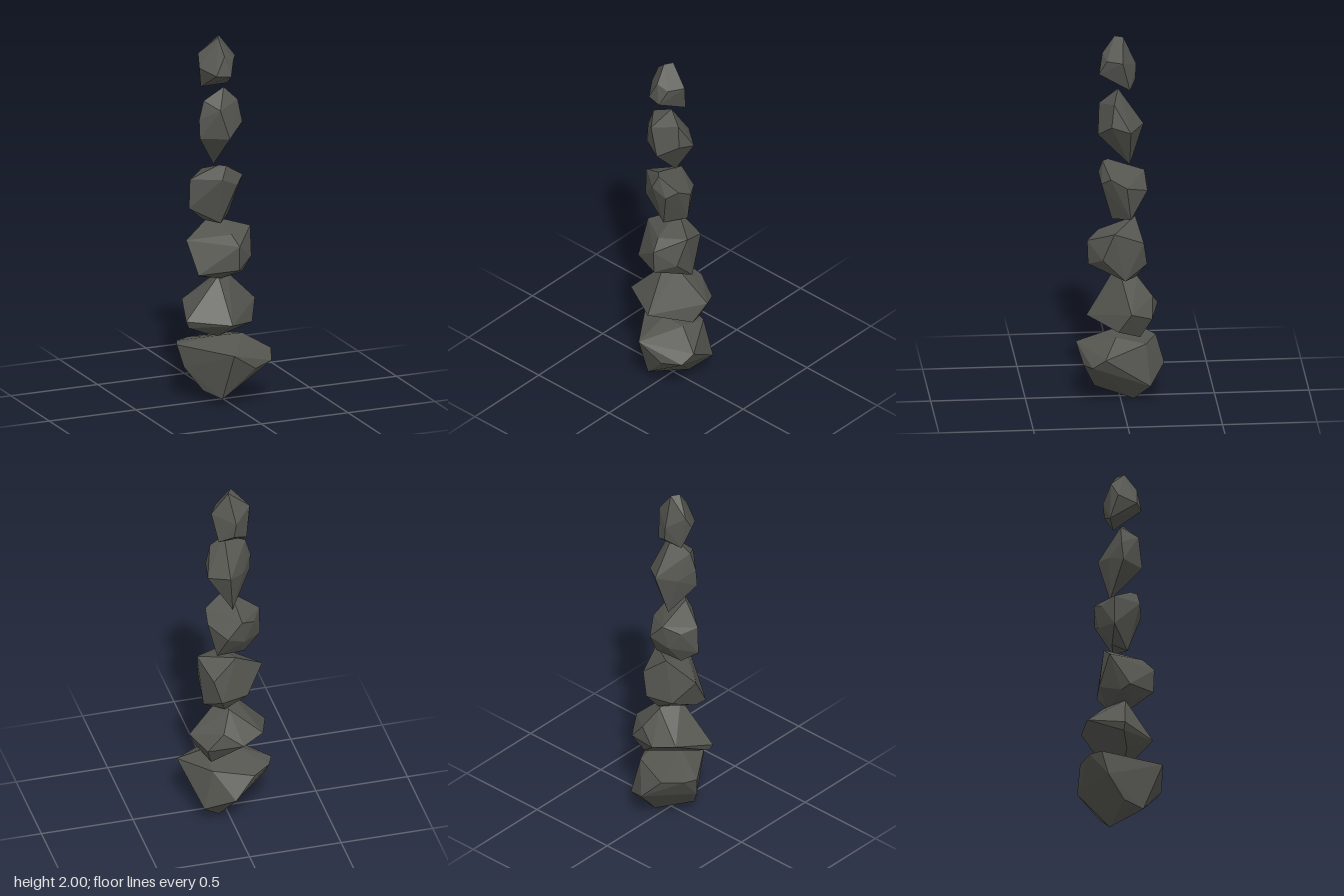
import * as THREE from 'three';
import { ConvexGeometry } from 'three/addons/geometries/ConvexGeometry.js';

// Corner points of each rough stone, bottom to top
const stones = {
  baseStone: [
    [0.05, 0, -0.07], [-0.06, 0.04, 0.13], [-0.13, 0.07, 0.04], [0.15, 0.1, -0.15],
    [-0.21, 0.19, -0.03], [0, 0.18, -0.235], [0.21, 0.23, 0.16], [0.1, 0.21, 0.2],
    [-0.24, 0.31, -0.06], [-0.035, 0.3, 0.23], [0.235, 0.28, 0.095], [-0.11, 0.3, -0.2],
    [-0.21, 0.31, -0.13], [0.1, 0.36, 0.03], [-0.03, 0.365, 0.04], [0.1, 0.32, -0.13],
  ],
  secondStone: [
    [-0.04, 0.36, 0.03], [0.1, 0.36, -0.1], [0.16, 0.41, 0.02], [-0.1, 0.38, 0.05],
    [-0.22, 0.43, 0.055], [-0.24, 0.47, 0.065], [-0.02, 0.45, 0.175], [0.135, 0.47, -0.16],
    [-0.05, 0.5, -0.205], [-0.17, 0.53, -0.15], [0.205, 0.52, -0.045], [0.05, 0.57, -0.17],
    [0, 0.67, -0.09], [0.03, 0.69, 0], [-0.04, 0.69, 0.03],
  ],
  thirdStone: [
    [0.02, 0.67, -0.08], [-0.03, 0.68, 0.05], [0.12, 0.68, -0.02], [-0.15, 0.7, 0.03],
    [-0.175, 0.72, 0.08], [0.02, 0.75, 0.17], [0.05, 0.75, -0.14], [-0.1, 0.75, -0.1],
    [0.12, 0.8, 0.1], [0.02, 0.88, 0.175], [-0.2, 0.89, -0.025], [0.09, 0.88, -0.12],
    [0, 0.935, 0.115], [0.14, 0.95, 0.04], [-0.04, 0.99, -0.085],
  ],
  fourthStone: [
    [-0.03, 0.98, 0.04], [-0.1, 0.99, -0.03], [0.055, 1, -0.055], [-0.195, 1.07, 0],
    [-0.08, 1.1, -0.11], [0.02, 1.15, -0.145], [0.1, 1.19, -0.03], [0.04, 1.2, 0.1],
    [-0.14, 1.2, -0.08], [-0.19, 1.23, 0], [-0.05, 1.24, 0.11], [-0.06, 1.24, -0.135],
    [0.09, 1.24, 0.055], [-0.02, 1.31, 0.09], [-0.05, 1.31, 0.06],
  ],
  fifthStone: [
    [-0.03, 1.28, -0.055], [-0.15, 1.46, 0.04], [-0.01, 1.46, 0.115], [0.105, 1.5, -0.05],
    [-0.09, 1.5, -0.05], [0, 1.52, -0.125], [-0.15, 1.56, 0.03], [0.09, 1.53, 0.05],
    [-0.06, 1.62, 0.105], [-0.12, 1.66, 0.02], [0.07, 1.65, 0.035], [0, 1.72, 0.01],
  ],
  topStone: [
    [-0.11, 1.72, -0.04], [0.045, 1.72, -0.05], [-0.03, 1.76, -0.085], [0, 1.8, 0.11],
    [-0.08, 1.81, 0.1], [-0.14, 1.84, 0.01], [-0.04, 1.84, -0.09], [0.075, 1.88, -0.01],
    [-0.13, 1.91, -0.03], [-0.03, 1.91, 0.09], [0.03, 1.88, 0.07], [-0.015, 2, -0.02], [-0.04, 2, 0.025],
  ],
};

export function createModel() {
  const group = new THREE.Group();
  group.name = 'stoneStack';
  const darkStone = new THREE.MeshStandardMaterial({ color: 0x555550 });
  darkStone.name = 'dark stone';

  // Each stone is a faceted hull around its corners
  for (const [name, corners] of Object.entries(stones)) {
    const points = corners.map((c) => new THREE.Vector3(...c));
    const stone = new THREE.Mesh(new ConvexGeometry(points), darkStone);
    stone.name = name;
    group.add(stone);
  }
  return group;
}
